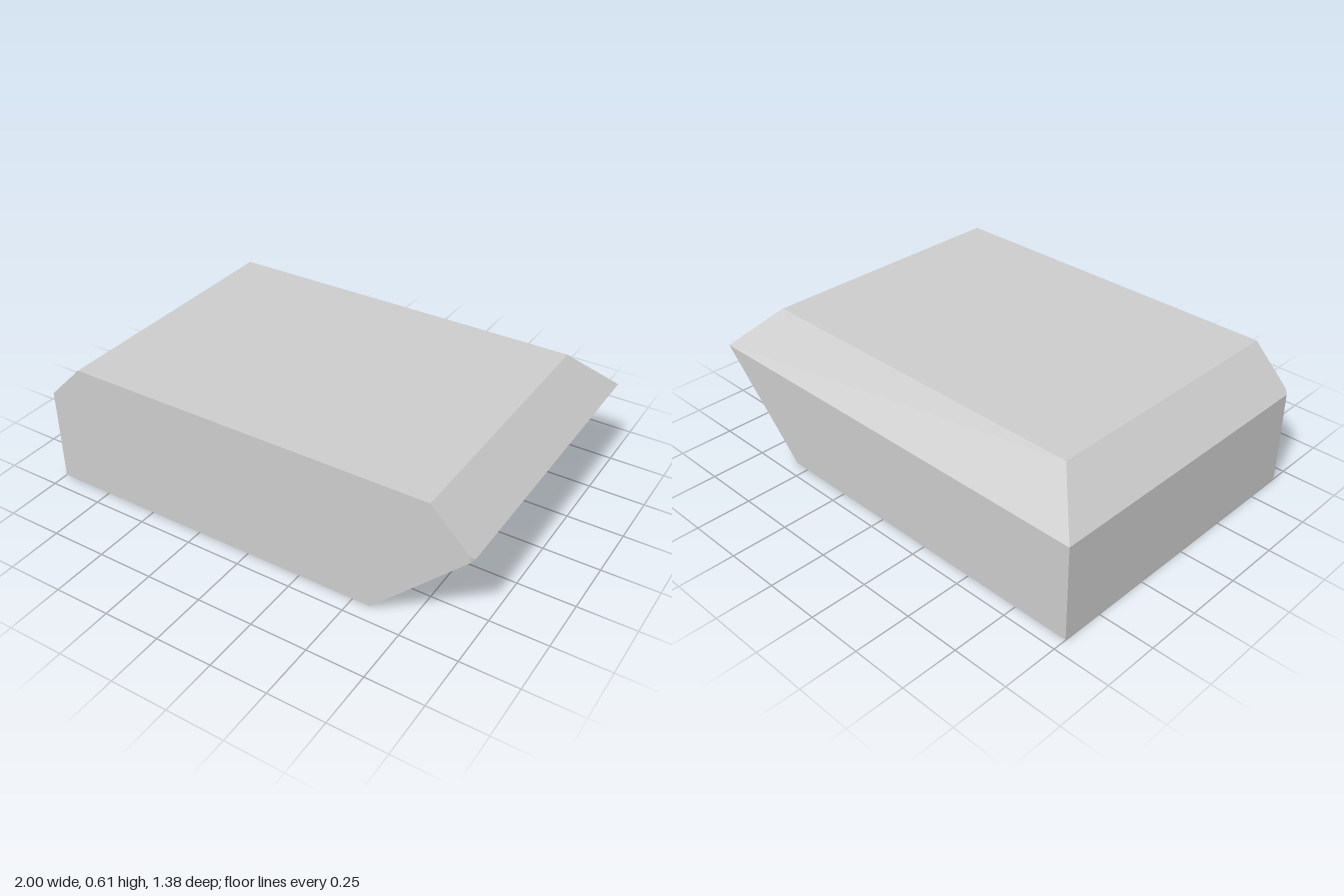
import * as THREE from 'three';

// Closed faceted solid through convex cross-sections, ordered back to front.
// Each section is { z, pts }, with pts anticlockwise as seen from the front.
function loft(sections) {
  const pos = [];
  const loops = sections.map(({ z, pts }) => pts.map(([x, y]) => new THREE.Vector3(x, y, z)));
  const tri = (a, b, c) => {
    // skip collapsed triangles where corners merge
    if (new THREE.Triangle(a, b, c).getArea() < 1e-7) return;
    for (const p of [a, b, c]) pos.push(p.x, p.y, p.z);
  };
  const n = loops[0].length;
  for (let i = 0; i < loops.length - 1; i++) {
    const back = loops[i], front = loops[i + 1];
    for (let j = 0; j < n; j++) {
      const k = (j + 1) % n;
      tri(back[j], back[k], front[k]);
      tri(back[j], front[k], front[j]);
    }
  }
  const first = loops[0], last = loops[loops.length - 1];
  for (let j = 1; j < n - 1; j++) {
    tri(first[0], first[j + 1], first[j]);
    tri(last[0], last[j], last[j + 1]);
  }
  const geo = new THREE.BufferGeometry();
  geo.setAttribute('position', new THREE.Float32BufferAttribute(pos, 3));
  geo.computeVertexNormals();
  return geo;
}

export function createModel() {
  const group = new THREE.Group();
  const H = 0.61;     // top height
  const bevel = 0.18; // large top bevel
  const edge = 0.015; // fine front edge bevel
  const rim = H - bevel;
  const D = 0.688;    // half depth
  const foot = 0.572; // where the undercut side meets the base

  // Section at a given top height and inset of the base, sides and tip
  const section = (z, inset, top) => {
    const tx = 1 - (top - rim);
    const x = 1 - inset;
    return { z, pts: [
      [-x, inset], [foot + inset, inset],     // base
      [x, rim - inset], [x, rim + inset],     // undercut tip
      [tx, top], [-tx, top],                  // top face
      [-x, rim + inset],                      // straight side
    ] };
  };

  const block = new THREE.Mesh(
    loft([
      section(-D, 0, rim),          // back, top bevel closed to the rim
      section(-D + bevel, 0, H),    // end of the back bevel
      section(D - edge, 0, H),      // start of the front edge bevel
      section(D, edge, H),          // front face
    ]),
    new THREE.MeshStandardMaterial({ color: 0xcccccc, flatShading: true })
  );
  block.name = 'bevelledBlock';
  group.add(block);
  return group;
}
